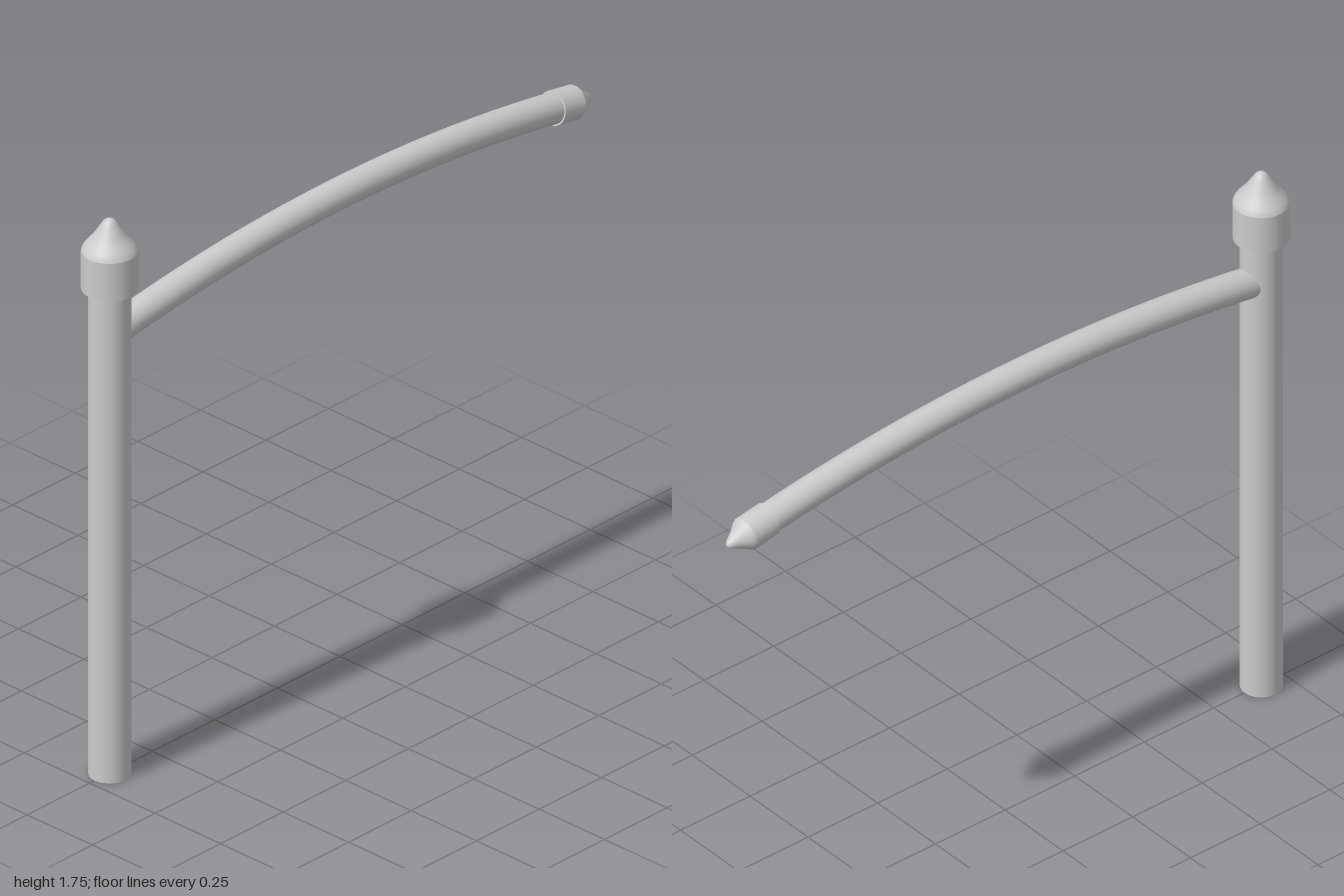
import * as THREE from 'three';

const material = new THREE.MeshStandardMaterial({ color: 0xcccccc, side: THREE.DoubleSide });

function part(name, geometry) {
  const mesh = new THREE.Mesh(geometry, material);
  mesh.name = name;
  return mesh;
}

// Pointed cap: straight collar, then a slightly concave cone with a rounded tip
function finial(name, radius, height) {
  const group = new THREE.Group();
  group.name = name;
  const v = (r, h) => new THREE.Vector2(r * radius, h * height);
  const shoulder = 0.54;
  const collar = [v(0, 0), v(1, 0)];
  const tip = new THREE.SplineCurve([
    v(1, shoulder), v(0.9, 0.61), v(0.6, 0.745), v(0.36, 0.88), v(0.18, 0.97), v(0, 1),
  ]).getPoints(20);
  tip[tip.length - 1].x = 0;
  group.add(
    part('capBase', new THREE.LatheGeometry(collar, 40)),
    part('capCollar', new THREE.CylinderGeometry(radius, radius, shoulder * height, 40, 1, true)
      .translate(0, shoulder * height / 2, 0)),
    part('capTip', new THREE.LatheGeometry(tip, 40)),
  );
  return group;
}

export function createModel() {
  const model = new THREE.Group();
  model.name = 'postWithArm';
  const postZ = 0.92;

  // Upright post and its cap
  const post = part('post', new THREE.CylinderGeometry(0.06, 0.06, 1.6, 40));
  post.position.set(0, 0.8, postZ);
  const postCap = finial('postCap', 0.08, 0.22);
  postCap.position.set(0, 1.532, postZ);
  model.add(post, postCap);

  // Gently arched arm, starting inside the post
  const end = new THREE.Vector3(0, 1.39, -0.85);
  const curve = new THREE.QuadraticBezierCurve3(
    new THREE.Vector3(0, 1.39, 0.9),
    new THREE.Vector3(0, 1.535, 0.02),
    end,
  );
  model.add(part('arm', new THREE.TubeGeometry(curve, 48, 0.045, 32)));

  // Smaller cap on the end of the arm, in line with it
  const armCap = finial('armCap', 0.05, 0.152);
  armCap.position.copy(end);
  armCap.quaternion.setFromUnitVectors(new THREE.Vector3(0, 1, 0), curve.getTangent(1));
  model.add(armCap);

  return model;
}
